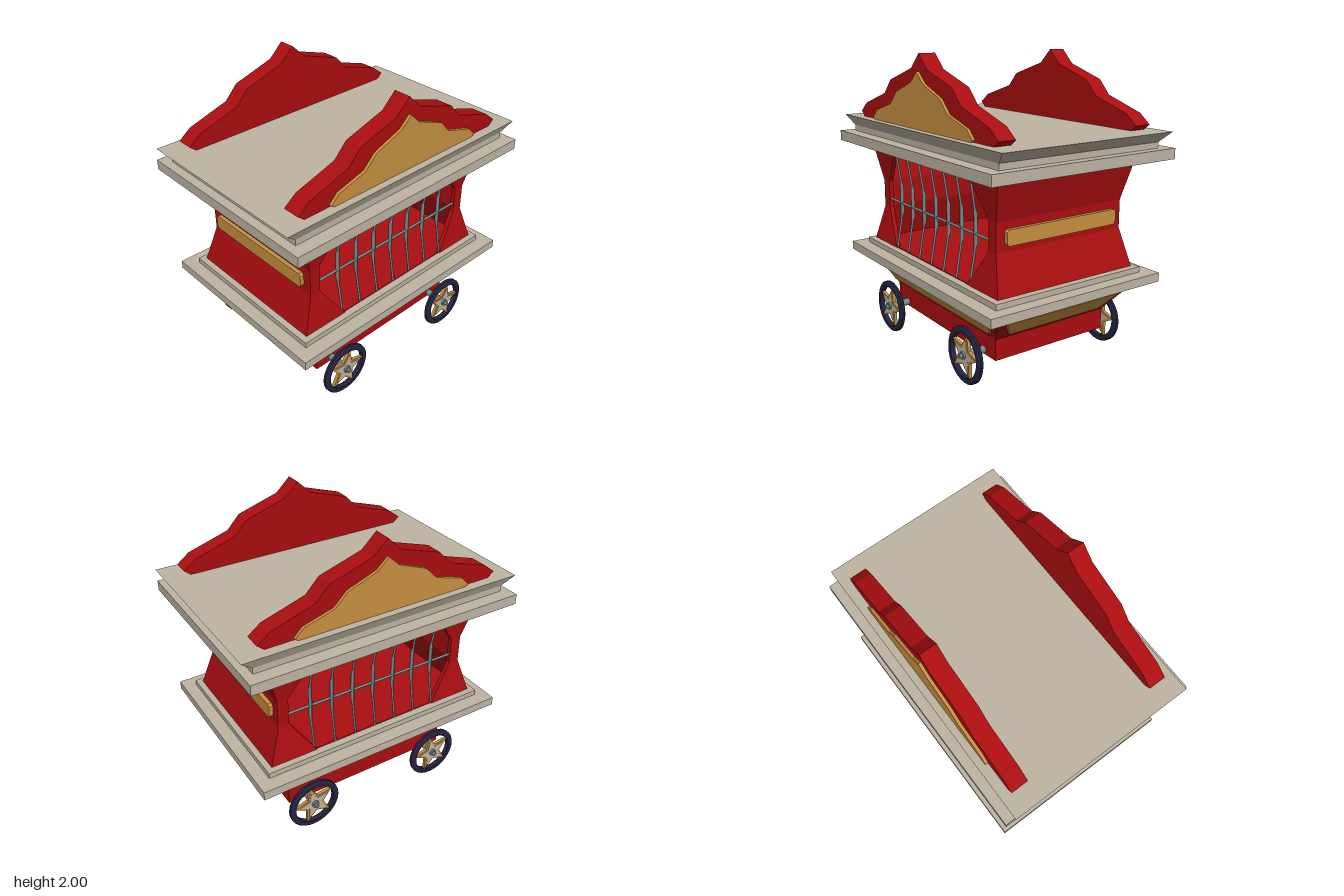
import * as THREE from 'three';

const mat = (name, color) => {
  const m = new THREE.MeshStandardMaterial({ color });
  m.name = name;
  return m;
};

export function createModel() {
  const red = mat('red paint', 0xab0e10);
  const gold = mat('gold trim', 0xc69040);
  const stone = mat('pale trim', 0xbeb4a3);
  const steel = mat('grey steel', 0x738987);
  const navy = mat('dark tyre', 0x24223f);

  const wagon = new THREE.Group();
  wagon.name = 'wagon';
  wagon.rotation.y = -0.0156;

  const add = (parent, name, geometry, material) => {
    const mesh = new THREE.Mesh(geometry, material);
    mesh.name = name;
    parent.add(mesh);
    return mesh;
  };
  const side = (name, angle) => {
    const g = new THREE.Group();
    g.name = name;
    g.rotation.y = angle;
    wagon.add(g);
    return g;
  };

  // Shift every vertex outward by a rule depending on its height
  const warp = (g, rule) => {
    const p = g.attributes.position;
    for (let i = 0; i < p.count; i++) p.setZ(i, p.getZ(i) + rule(p.getY(i)));
    g.computeVertexNormals();
    return g;
  };
  // Flat plate from an outline, spanning z0..z1
  const plate = (pts, z0, z1) => {
    const shape = new THREE.Shape(pts.map(([x, y]) => new THREE.Vector2(x, y)));
    return new THREE.ExtrudeGeometry(shape, { depth: z1 - z0, bevelEnabled: false }).translate(0, 0, z0);
  };
  const mirrored = (half) => [...half, ...half.filter(([x]) => x !== 0).reverse().map(([x, y]) => [-x, y])];
  // Four-sided block with different half sizes at bottom and top
  const block = (name, y0, y1, w0, d0, w1, d1, material) => {
    const g = new THREE.BoxGeometry(2, 2, 2).toNonIndexed();
    const p = g.attributes.position;
    for (let i = 0; i < p.count; i++) {
      const top = p.getY(i) > 0;
      p.setXYZ(i, p.getX(i) * (top ? w1 : w0), top ? y1 : y0, p.getZ(i) * (top ? d1 : d0));
    }
    g.computeVertexNormals();
    return add(wagon, name, g, material);
  };

  // Chassis, base mouldings and roof mouldings
  block('chassis', 0.16, 0.3, 0.62, 0.437, 0.62, 0.437, red);
  block('flaredUnderbody', 0.3, 0.49, 0.62, 0.437, 0.78, 0.535, red);
  block('baseLowerStep', 0.49, 0.53, 0.82, 0.575, 0.82, 0.575, stone);
  block('baseSlab', 0.53, 0.59, 0.905, 0.67, 0.905, 0.67, stone);
  block('baseUpperStep', 0.59, 0.627, 0.82, 0.575, 0.82, 0.575, stone);
  block('cageFloor', 0.627, 0.633, 0.77, 0.525, 0.77, 0.525, red);
  block('roofSlab', 1.35, 1.42, 0.955, 0.7, 0.955, 0.7, stone);
  block('roofStep', 1.42, 1.46, 0.895, 0.61, 0.895, 0.61, stone);
  block('roofFlare', 1.46, 1.53, 0.895, 0.61, 0.975, 0.645, stone);

  // Waisted body: 0 along the waist, 1 at floor and ceiling
  const waist = (y) => (y < 0.88 ? (0.88 - y) / 0.25 : y > 1.07 ? (y - 1.07) / 0.28 : 0);
  const faceZ = (y) => 0.49 + 0.045 * waist(y);
  const endX = (y) => 0.7 + 0.08 * waist(y);

  const upperFrame = mirrored([[0, 1.285], [0.465, 1.31], [0.625, 1.07], [0.7, 1.07], [0.78, 1.35]]);
  const posts = [
    [[0.625, 0.88], [0.7, 0.88], [0.7, 1.07], [0.625, 1.07]],
    [[0.455, 0.63], [0.78, 0.63], [0.7, 0.88], [0.625, 0.88]],
  ];
  const pedimentTop = [[0.8, 1.53], [0.845, 1.565], [0.76, 1.63], [0.475, 1.72], [0.385, 1.815], [0.1, 1.905], [0, 2]];
  const pedimentInset = [[0.6, 1.53], [0.62, 1.545], [0.565, 1.6], [0.36, 1.66], [0.275, 1.745], [0.075, 1.82], [0, 1.89]];

  // Barred front and back with pediments above
  for (const [name, angle] of [['front', 0], ['back', Math.PI]]) {
    const g = side(name + 'Side', angle);
    add(g, 'upperFrame', warp(plate(upperFrame, -0.03, 0), faceZ), red);
    for (const s of [1, -1]) {
      for (const post of posts) {
        add(g, 'cornerPost', warp(plate(post.map(([x, y]) => [s * x, y]), -0.03, 0), faceZ), red);
      }
    }
    const barProfile = [[0.008, 0.63], [0.008, 0.85], [0.013, 0.88], [0.013, 1.07], [0.008, 1.1], [0.008, 1.35]];
    for (let i = -3; i <= 3; i++) {
      const bar = new THREE.LatheGeometry(barProfile.map(([r, y]) => new THREE.Vector2(r, y)), 8);
      bar.translate(i * 0.155, 0, -0.015);
      add(g, 'cageBar', warp(bar, faceZ), steel);
    }
    const rail = new THREE.CylinderGeometry(0.009, 0.009, 1.26, 8).rotateZ(Math.PI / 2);
    add(g, 'crossRail', rail.translate(0, 0.945, 0.475), steel);

    add(g, 'pediment', plate(mirrored(pedimentTop), 0.46, 0.577), red);
    add(g, 'pedimentInset', plate(mirrored(pedimentInset), 0.57, 0.597), gold);
    add(g, 'underbodyPanel', warp(plate(mirrored([[0.6, 0.34], [0.69, 0.45]]), -0.005, 0.018),
      (y) => 0.437 + ((y - 0.3) / 0.19) * 0.098), gold);
  }

  // Solid ends with gold plaques
  for (const [name, angle] of [['left', Math.PI / 2], ['right', -Math.PI / 2]]) {
    const g = side(name + 'End', angle);
    for (const [y0, y1] of [[0.63, 0.88], [0.88, 1.07], [1.07, 1.35]]) {
      const wall = mirrored([[faceZ(y0), y0], [faceZ(y1), y1]]);
      add(g, 'endWall', warp(plate(wall, -0.03, 0), endX), red);
    }
    const plaque = mirrored([[0.415, 0.92], [0.43, 0.935], [0.43, 1.005], [0.415, 1.02]]);
    add(g, 'endPlaque', plate(plaque, 0.69, 0.727), gold);
    add(g, 'underbodyPanel', warp(plate(mirrored([[0.365, 0.335], [0.455, 0.455]]), -0.005, 0.02),
      (y) => 0.62 + ((y - 0.3) / 0.19) * 0.16), gold);
  }

  // Star-spoked wheels on two axles
  const star = (outer, inner) => Array.from({ length: 10 }, (_, i) => {
    const a = (77 * Math.PI) / 180 + (i * Math.PI) / 5;
    const r = i % 2 ? inner : outer;
    return [r * Math.cos(a), r * Math.sin(a)];
  });
  const tyreProfile = [[0.145, -0.018], [0.172, -0.018], [0.185, -0.009], [0.185, 0.009],
    [0.172, 0.018], [0.145, 0.018], [0.145, -0.018]].map(([r, y]) => new THREE.Vector2(r, y));
  const tyre = new THREE.LatheGeometry(tyreProfile, 28).toNonIndexed().rotateX(Math.PI / 2);
  tyre.computeVertexNormals();
  const tyreMat = navy;
  for (const x of [-0.49, 0.49]) {
    const axle = new THREE.CylinderGeometry(0.025, 0.025, 1.17, 12).rotateX(Math.PI / 2);
    add(wagon, 'axle', axle.translate(x, 0.19, 0.016), steel);
    const pin = new THREE.CylinderGeometry(0.014, 0.014, 1.21, 10).rotateX(Math.PI / 2);
    add(wagon, 'axlePin', pin.translate(x, 0.19, 0.016), steel);
    for (const z of [0.574, -0.542]) {
      const wheel = new THREE.Group();
      wheel.name = 'wheel';
      wheel.position.set(x, 0.187, z);
      add(wheel, 'tyre', tyre, tyreMat);
      add(wheel, 'starSpokes', plate(star(0.15, 0.066), -0.011, 0.011), gold);
      add(wheel, 'starInlay', plate(star(0.112, 0.049), -0.014, 0.014), stone);
      wagon.add(wheel);
    }
  }

  const model = new THREE.Group();
  model.name = 'circusWagon';
  model.add(wagon);
  return model;
}
